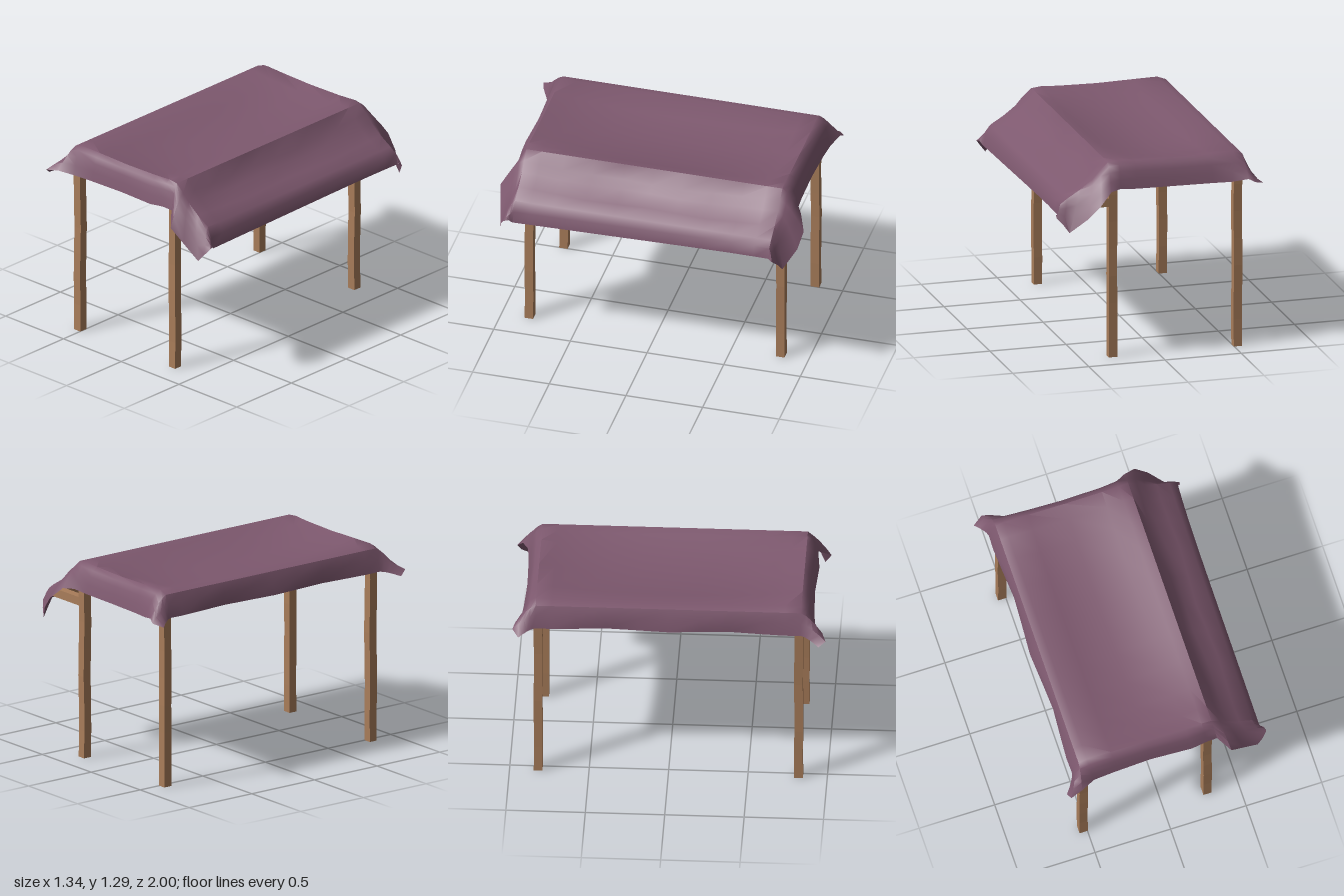
import * as THREE from 'three';
import { toCreasedNormals } from 'three/addons/utils/BufferGeometryUtils.js';

const clothMat = new THREE.MeshStandardMaterial({ color: 0x7d586e, side: THREE.DoubleSide });
clothMat.name = 'plum cloth';
const woodMat = new THREE.MeshStandardMaterial({ color: 0xa97d5a, flatShading: true });
woodMat.name = 'brown wood';

const T = 0.055; // timber thickness

function beam(name, w, h, d, x, y, z) {
  const m = new THREE.Mesh(new THREE.BoxGeometry(w, h, d), woodMat);
  m.name = name;
  m.position.set(x, y, z);
  return m;
}

// Rough-hewn post: a segmented box whose rings wander slightly
function post(name, x, z, height, seed) {
  const geo = new THREE.BoxGeometry(T, height, T, 1, 7, 1);
  const p = geo.attributes.position;
  for (let i = 0; i < p.count; i++) {
    const y = p.getY(i);
    if (Math.abs(y) > height / 2 - 0.01) continue;
    p.setX(i, p.getX(i) + 0.002 * Math.sin(y * 9 + seed));
    p.setZ(i, p.getZ(i) + 0.002 * Math.cos(y * 11 + seed * 2));
  }
  const m = new THREE.Mesh(geo, woodMat);
  m.name = name;
  m.position.set(x, height / 2, z);
  return m;
}

// Cloth columns from left hem to right hem: x, y, sag at mid length
const profile = [
  [-0.59, 1.12, 0], [-0.582, 1.2, 0], [-0.555, 1.262, 0], [-0.5, 1.283, 0.01],
  [-0.34, 1.28, 0.05], [-0.1, 1.275, 0.062], [0.15, 1.28, 0.05], [0.26, 1.287, 0.02],
  [0.325, 1.28, 0], [0.38, 1.23, 0.035], [0.43, 1.175, 0.02], [0.51, 1.115, 0.02],
  [0.595, 1.063, 0], [0.628, 1.015, 0], [0.642, 0.945, 0],
];
// Hanging end hems, one point per column
const frontHem = [
  [-0.67, 1.085, 0.95], [-0.655, 1.12, 0.995], [-0.575, 1.13, 0.97], [-0.48, 1.11, 0.92],
  [-0.34, 1.11, 0.91], [-0.1, 1.11, 0.9], [0.17, 1.115, 0.915], [0.27, 1.125, 0.905],
  [0.34, 1.12, 0.9], [0.41, 1.045, 0.98], [0.5, 0.955, 0.955], [0.6, 0.86, 0.93],
  [0.64, 0.91, 0.915], [0.67, 0.95, 0.89], [0.66, 0.955, 0.86],
];
const backHem = [
  [-0.665, 1.09, -0.94], [-0.6, 1.11, -0.98], [-0.56, 1.13, -0.965], [-0.46, 1.11, -0.93],
  [-0.34, 1.11, -0.92], [-0.1, 1.11, -0.91], [0.16, 1.115, -0.915], [0.27, 1.125, -0.925],
  [0.34, 1.12, -0.96], [0.42, 1.045, -1.0], [0.5, 0.96, -0.98], [0.6, 0.86, -0.91],
  [0.635, 0.91, -0.89], [0.67, 0.95, -0.86], [0.668, 0.965, -0.84],
];

function clothGeometry() {
  const edge = 0.835;
  const pos = [], idx = [], n = profile.length;
  // Top span: sags between the two ends, with gently waving side hems
  const spanPoint = ([x, y, sag], j, z) => {
    const w = 1 - Math.pow(Math.abs(z) / edge, 3);
    if (j === 0) x -= 0.012 * Math.cos(z * 8.4);
    if (j > 8 && j < 12) x += 0.012 * w * Math.sin(z * 8 + j);
    if (j > 12) {
      x += 0.025 * Math.pow(Math.max(0, -z), 4);
      y -= 0.018 * z;
    }
    return [x, y - sag * w, z];
  };
  const spanRow = (z) => profile.forEach((c, j) => pos.push(...spanPoint(c, j, z)));
  // Hanging end: rounds over the frame edge, then drops to the hem
  const flapRow = (hem, t, sign) => profile.forEach((c, j) => {
    const [x, y, z] = spanPoint(c, j, sign * edge);
    const [hx, hy, hz] = hem[j];
    const tz = Math.pow(t, j > 2 && j < 8 ? 0.45 : 0.7);
    pos.push(x + (hx - x) * t, y + (hy - y) * t, z + (hz - z) * tz);
  });
  for (const t of [1, 0.65, 0.35, 0.13]) flapRow(frontHem, t, 1);
  for (const k of [1, 0.88, 0.7, 0.47, 0.23, 0, -0.23, -0.47, -0.7, -0.88, -1]) spanRow(k * edge);
  for (const t of [0.13, 0.35, 0.65, 1]) flapRow(backHem, t, -1);
  const rows = pos.length / 3 / n;
  for (let i = 0; i < rows - 1; i++) {
    for (let j = 0; j < n - 1; j++) {
      const a = i * n + j, b = a + 1, c = a + n, d = c + 1;
      idx.push(a, b, c, b, d, c);
    }
  }
  const geo = new THREE.BufferGeometry();
  geo.setAttribute('position', new THREE.Float32BufferAttribute(pos, 3));
  geo.setIndex(idx);
  return toCreasedNormals(geo, 0.75);
}

export function createModel() {
  const model = new THREE.Group();
  model.name = 'clothCanopy';

  const frame = new THREE.Group();
  frame.name = 'woodenFrame';
  const xl = -0.525, xr = 0.295, zp = 0.82, top = 1.245;

  // Posts, end beams and awning brackets at front and back
  for (const [end, s] of [['front', 1], ['back', -1]]) {
    frame.add(post(end + 'PostRightSide', xl, s * zp, top, s));
    frame.add(post(end + 'PostLeftSide', xr, s * zp, top, s + 3));
    frame.add(beam(end + 'TopBeam', xr - xl - T, T, T, (xl + xr) / 2, top - T / 2, s * zp));
    frame.add(beam(end + 'AwningBracket', 0.22, T, T, 0.43, 1.018, s * zp));
  }
  // Long beams and the awning rail
  for (const [side, x] of [['right', xl], ['left', xr]])
    frame.add(beam(side + 'LongBeam', T, T, 2 * zp - T, x, top - T / 2, 0));
  frame.add(beam('awningRail', 0.05, T, 2 * zp + T, 0.565, 1.018, 0));
  model.add(frame);

  // Draped cloth
  const cloth = new THREE.Mesh(clothGeometry(), clothMat);
  cloth.name = 'drapedCloth';
  model.add(cloth);
  return model;
}
